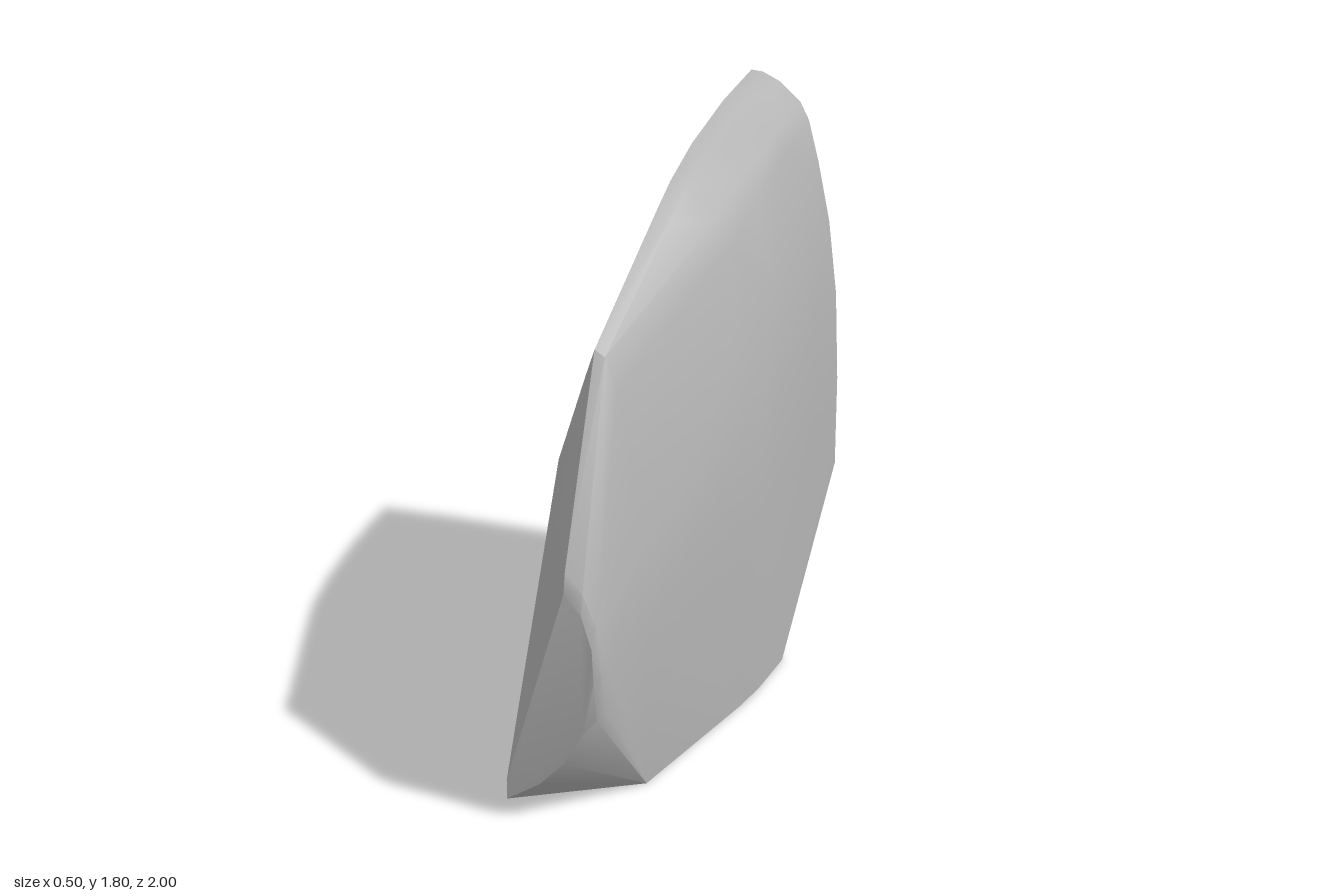
import * as THREE from 'three';
import { ConvexGeometry } from 'three/addons/geometries/ConvexGeometry.js';
import { toCreasedNormals } from 'three/addons/utils/BufferGeometryUtils.js';

// Upright cross-sections of the outer flank: z, then [x, y] pairs from the ridge down
const sections = [
  [-1, [[-0.07, 1.8], [-0.03, 1.795], [0.03, 1.765], [0.1, 1.7], [0.13, 1.64], [0.165, 1.5], [0.205, 1.3], [0.233, 1.05], [0.243, 0.75], [0.24, 0.44]]],
  [-0.65, [[-0.07, 1.765], [-0.02, 1.75], [0.1, 1.66], [0.13, 1.6], [0.205, 1.28], [0.235, 1.03], [0.245, 0.7]]],
  [-0.28, [[-0.07, 1.7], [-0.02, 1.685], [0.09, 1.6], [0.13, 1.52], [0.2, 1.24], [0.232, 0.98], [0.243, 0.65], [0.238, 0]]],
  [-0.05, [[-0.07, 1.635], [-0.02, 1.62], [0.08, 1.53], [0.12, 1.44], [0.19, 1.13], [0.22, 0.9], [0.232, 0.6], [0.222, 0]]],
  [0.1, [[-0.07, 1.575], [-0.02, 1.555], [0.07, 1.45], [0.17, 1.08], [0.2, 0.85], [0.21, 0.55], [0.2, 0]]],
  [0.7, [[-0.07, 1.32], [-0.04, 1.3], [-0.005, 1.2], [0.04, 0.98], [0.075, 0.75], [0.092, 0.5], [0.088, 0.3], [0.075, 0]]],
  [0.95, [[-0.07, 0.82], [-0.03, 0.78], [0.03, 0.6], [0.042, 0.47], [0.035, 0.33]]],
  // Rounded nose outline
  [0.985, [[-0.07, 0.76], [-0.02, 0.7], [0.02, 0.6], [0.032, 0.46], [0.018, 0.32]]],
  [1, [[-0.07, 0.7], [-0.02, 0.64], [0.01, 0.54], [0.015, 0.44], [-0.02, 0.28], [-0.08, 0.18], [-0.15, 0.11], [-0.25, 0.05], [-0.25, 0.11]]],
];

// Corners of the flatter inner flank
const innerCorners = [
  [0.01, 0.44, -1], [-0.04, 0, -0.28], [-0.25, 0, 0.5],
  [-0.25, 0.44, 0.42], [-0.185, 0.98, 0.69], [-0.09, 1.25, 0.72],
];

export function createModel() {
  const grey = new THREE.MeshStandardMaterial({ color: 0xb4b4b4 });
  grey.name = 'grey';

  const points = innerCorners.map((p) => new THREE.Vector3(...p));
  for (const [z, outline] of sections) {
    for (const [x, y] of outline) points.push(new THREE.Vector3(x, y, z));
  }

  // Solid panel: smooth over the flank, sharp at the cut faces
  const panel = new THREE.Mesh(toCreasedNormals(new ConvexGeometry(points), 0.5), grey);
  panel.name = 'panel';

  const group = new THREE.Group();
  group.name = 'curvedPanel';
  group.add(panel);
  return group;
}
